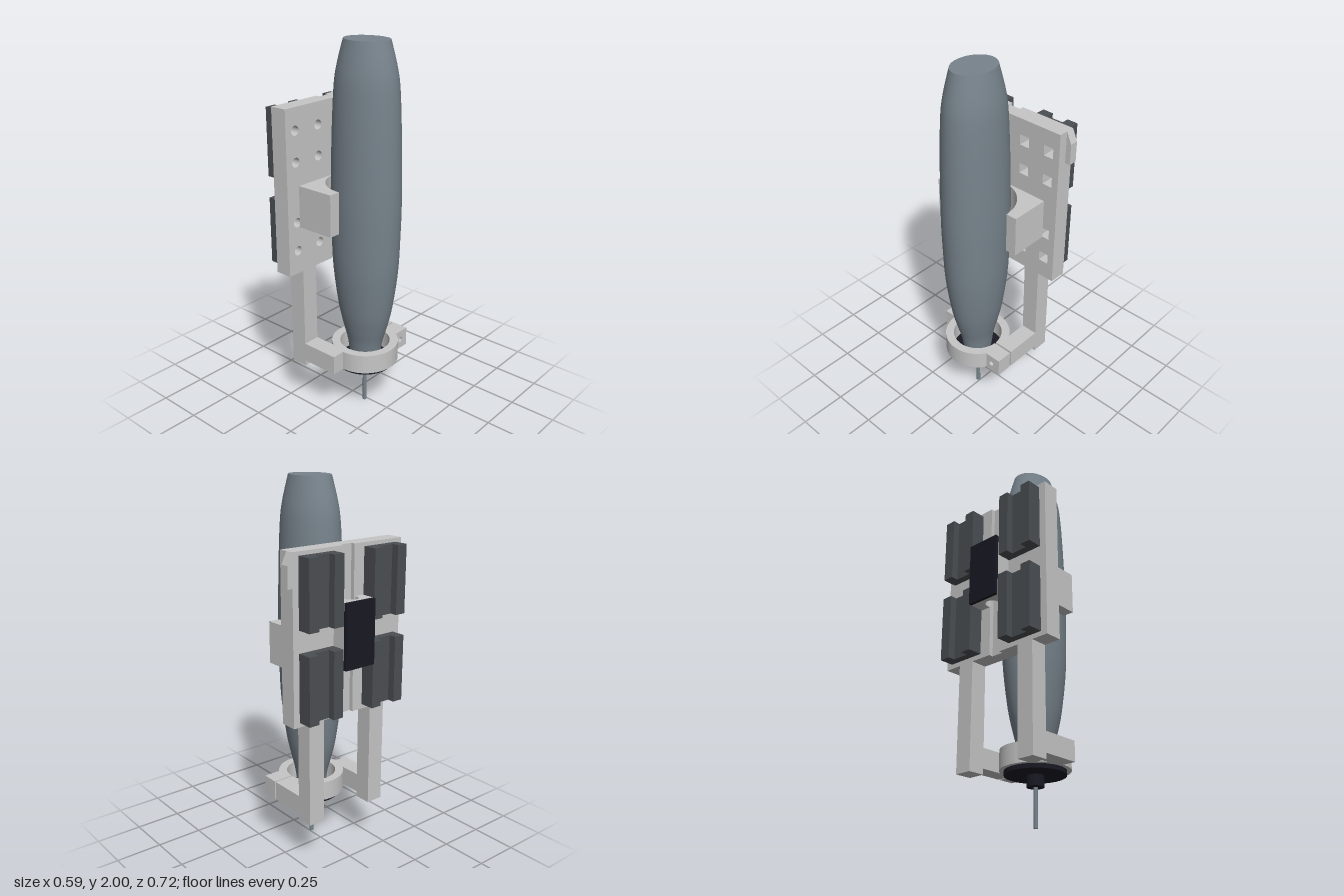
import * as THREE from 'three';

const mat = (name, color, side = THREE.FrontSide) => {
  const m = new THREE.MeshStandardMaterial({ color, side });
  m.name = name;
  return m;
};

export function createModel() {
  const root = new THREE.Group();
  const light = mat('light grey', 0xc6c6c6);
  const steel = mat('blue grey', 0x77838c);
  const dark = mat('dark grey', 0x4b4f53);
  const navy = mat('near black navy', 0x191924);
  const CX = 0.1, CZ = 0.013; // tool axis

  const add = (name, geo, material) => {
    const m = new THREE.Mesh(geo, material);
    m.name = name;
    root.add(m);
    return m;
  };
  const box = (name, material, x0, x1, y0, y1, z0, z1) => {
    const m = add(name, new THREE.BoxGeometry(x1 - x0, y1 - y0, z1 - z0), material);
    m.position.set((x0 + x1) / 2, (y0 + y1) / 2, (z0 + z1) / 2);
    return m;
  };
  const poly = (pts) => new THREE.Shape(pts.map(([a, b]) => new THREE.Vector2(a, b)));
  const circle = (x, y, r) => new THREE.Path().absarc(x, y, r, 0, Math.PI * 2, true);
  const square = (x, y, h) => poly([[x - h, y - h], [x - h, y + h], [x + h, y + h], [x + h, y - h]]);
  const extrude = (shape, depth) =>
    new THREE.ExtrudeGeometry(shape, { depth, bevelEnabled: false, curveSegments: 32 });
  // Shape in (x, -z), raised along y
  const rise = (name, shape, material, y0, y1) => {
    const m = add(name, extrude(shape, y1 - y0).rotateX(-Math.PI / 2), material);
    m.position.y = y0;
    return m;
  };
  // Shape in (-z, y), pushed along x
  const push = (name, shape, material, x0, x1) => {
    const m = add(name, extrude(shape, x1 - x0).rotateY(Math.PI / 2), material);
    m.position.x = x0;
    return m;
  };

  // Tool body: smooth oval barrel with flat ends
  const key = [[0.086, 0.28], [0.103, 0.39], [0.128, 0.48], [0.156, 0.6], [0.185, 0.82], [0.194, 1.05],
    [0.196, 1.2], [0.192, 1.4], [0.185, 1.6], [0.174, 1.78], [0.157, 1.88], [0.124, 2]];
  const profile = new THREE.SplineCurve(key.map(([r, y]) => new THREE.Vector2(r, y))).getPoints(48);
  const body = add('body', new THREE.LatheGeometry(profile, 64), steel);
  const cap = add('bodyTop', new THREE.CircleGeometry(0.124, 64).rotateX(-Math.PI / 2), steel);
  cap.position.y = 2;
  for (const m of [body, cap]) {
    m.position.x = CX;
    m.position.z = CZ;
    m.scale.z = 0.795;
  }

  // Nose flange, nut and shaft
  for (const [name, m, r, y0, y1] of [
    ['noseFlange', navy, 0.157, 0.257, 0.282],
    ['noseNut', navy, 0.045, 0.2, 0.257],
    ['shaft', steel, 0.011, 0, 0.2],
  ]) {
    add(name, new THREE.CylinderGeometry(r, r, y1 - y0, 40), m).position.set(CX, (y0 + y1) / 2, CZ);
  }

  // Split clamp ring with its arms and tab
  const ring = new THREE.Shape();
  const gap = 0.03, up = Math.PI / 2;
  ring.absarc(CX, -CZ, 0.18, up + gap, up - gap + Math.PI * 2, false);
  ring.absarc(CX, -CZ, 0.135, up - gap + Math.PI * 2, up + gap, true);
  rise('clampRing', ring, light, 0.28, 0.385);
  box('clampArmLeft', light, -0.12, 0.1, 0.28, 0.385, 0.17, 0.265);
  box('clampArmRight', light, -0.12, 0.095, 0.28, 0.385, -0.235, -0.142);
  const tab = poly([[-CZ + 0.155, 0.28], [0.235, 0.28], [0.235, 0.385], [-CZ + 0.155, 0.385]]);
  tab.holes.push(circle(0.18, 0.332, 0.015));
  push('clampTab', tab, light, 0.105, 0.195);

  // Back plate with legs: counterbored front layer, grooved rear layer
  const rows = [0.945, 1.1, 1.415, 1.575];
  const holeZ = [0.297, 0.137, -0.265, -0.115];
  const plate = poly([[-0.36, 0.82], [-0.265, 0.82], [-0.265, 0.25], [-0.17, 0.25], [-0.17, 0.82],
    [0.142, 0.82], [0.142, 0.25], [0.235, 0.25], [0.235, 0.82], [0.33, 0.82], [0.33, 1.69], [-0.36, 1.69]]);
  const rearA = poly([[-0.36, 0.82], [-0.265, 0.82], [-0.265, 0.25], [-0.17, 0.25], [-0.17, 0.82],
    [-CZ - 0.034, 0.82], [-CZ - 0.034, 1.69], [-0.36, 1.69]]);
  const rearB = poly([[-CZ + 0.034, 0.82], [0.142, 0.82], [0.142, 0.25], [0.235, 0.25], [0.235, 0.82],
    [0.33, 0.82], [0.33, 1.69], [-CZ + 0.034, 1.69]]);
  for (const y of rows) {
    for (const z of holeZ) {
      plate.holes.push(z > 0 ? circle(-z, y, 0.025) : square(-z, y, 0.028));
      (z > 0 ? rearA : rearB).holes.push(circle(-z, y, 0.015));
    }
  }
  push('backPlate', plate, light, -0.18, -0.11);
  push('backPlateRearLeft', rearA, light, -0.203, -0.18);
  push('backPlateRearRight', rearB, light, -0.203, -0.18);
  push('plateLug', poly([[0.33, 1.52], [0.358, 1.52], [0.358, 1.63], [0.33, 1.69]]), light, -0.203, -0.158);

  // Cradle block with a round cut for the body
  const R = 0.205, cradle = new THREE.Shape();
  cradle.moveTo(-0.11, -0.28);
  cradle.lineTo(CX, -0.28);
  cradle.lineTo(CX, -CZ - R);
  cradle.absarc(CX, -CZ, R, -Math.PI / 2, -Math.PI * 1.5, true);
  cradle.lineTo(CX, 0.252);
  cradle.lineTo(-0.11, 0.252);
  rise('cradle', cradle, light, 1.07, 1.29);

  // Cradle bolts
  for (const z of [0.2, -0.172]) {
    for (const y of [1.12, 1.24]) {
      const sleeve = add('boltSleeve', new THREE.CylinderGeometry(0.026, 0.026, 0.06, 24).rotateZ(Math.PI / 2), light);
      sleeve.position.set(0.005, y, z);
      const socket = add('boltSocket', new THREE.CylinderGeometry(0.013, 0.013, 0.006, 20).rotateZ(Math.PI / 2), dark);
      socket.position.set(0.035, y, z);
    }
  }

  // Four channel-shaped slide blocks
  for (const zc of [0.216, -0.19]) {
    const c = -zc, w = 0.105, n = 0.046;
    const channel = poly([[-0.203, c - w], [-0.203, c + w], [-0.283, c + w], [-0.283, c + n],
      [-0.243, c + n], [-0.243, c - n], [-0.283, c - n], [-0.283, c - w]]);
    rise('slideBlockLower', channel, dark, 0.845, 1.2);
    rise('slideBlockUpper', channel, dark, 1.315, 1.67);
  }

  // Screw nut housing and its cover
  const nut = poly([[-0.28, -0.105], [-0.203, -0.105], [-0.203, -CZ - 0.034]]);
  nut.absarc(-0.22, -CZ, 0.038, -1.107, 1.107 - Math.PI * 2, true);
  nut.lineTo(-0.203, 0.081);
  nut.lineTo(-0.28, 0.081);
  rise('nutHousing', nut, light, 1.09, 1.43);
  box('nutCover', navy, -0.298, -0.28, 1.09, 1.43, -0.081, 0.105);

  return root;
}
